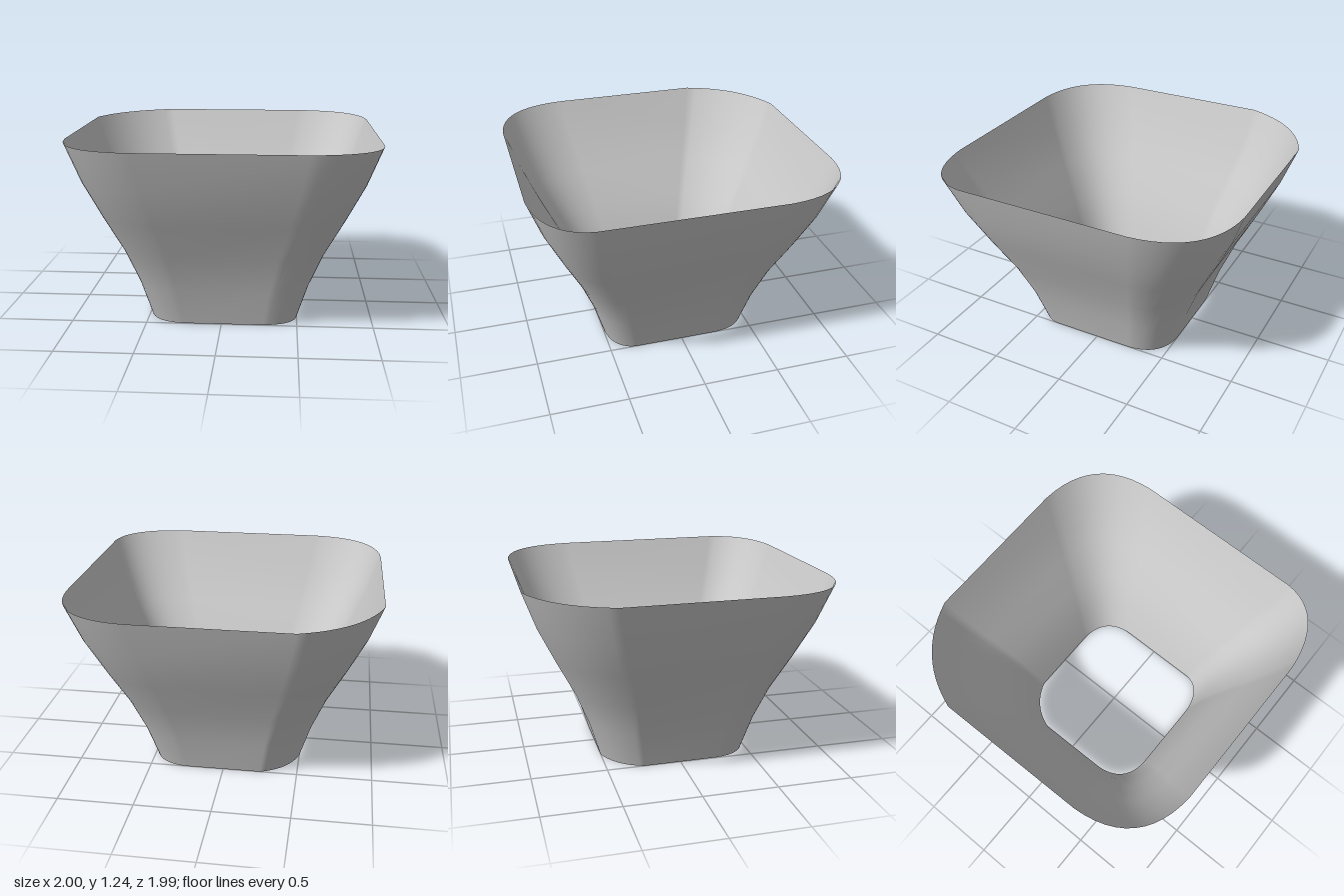
import * as THREE from 'three';

// Corner curves of the rim outline as [start, control, end] in (x, z), counterclockwise from above
const CORNERS = [
  [[1, -0.5], [0.97, -0.97], [0.5, -1]],       // back left
  [[-0.5, -1], [-0.88, -0.88], [-1, -0.5]],    // back right, flatter
  [[-0.99, 0.5], [-0.96, 0.96], [-0.5, 0.99]], // front right
  [[0.55, 0.99], [0.97, 0.95], [1, 0.65]],     // front left, tighter
];

// Flare of the wall as [scale, height]
const PROFILE = [[0.5, 0], [0.575, 0.25], [0.67, 0.49], [0.795, 0.74], [0.91, 0.985], [1, 1.235]];

function rimOutline() {
  const points = [];
  for (const corner of CORNERS) {
    const curve = new THREE.QuadraticBezierCurve(...corner.map(([x, z]) => new THREE.Vector2(x, z)));
    points.push(...curve.getPoints(12));
  }
  return points;
}

// Loft the outline up the profile into one smooth open wall
function loft(outline, profile) {
  const n = outline.length;
  const positions = [];
  const index = [];
  profile.forEach(([scale, y], i) => {
    outline.forEach((p, j) => {
      positions.push(p.x * scale, y, p.y * scale);
      if (i === profile.length - 1) return;
      const a = i * n + j;
      const b = i * n + (j + 1) % n;
      index.push(a, b, b + n, a, b + n, a + n);
    });
  });
  const geometry = new THREE.BufferGeometry();
  geometry.setAttribute('position', new THREE.Float32BufferAttribute(positions, 3));
  geometry.setIndex(index);
  geometry.computeVertexNormals();
  return geometry;
}

export function createModel() {
  const group = new THREE.Group();
  group.name = 'flaredSquareSleeve';
  const material = new THREE.MeshStandardMaterial({ color: 0xcccccc, side: THREE.DoubleSide });
  const wall = new THREE.Mesh(loft(rimOutline(), PROFILE), material);
  wall.name = 'flaredWall';
  group.add(wall);
  return group;
}
